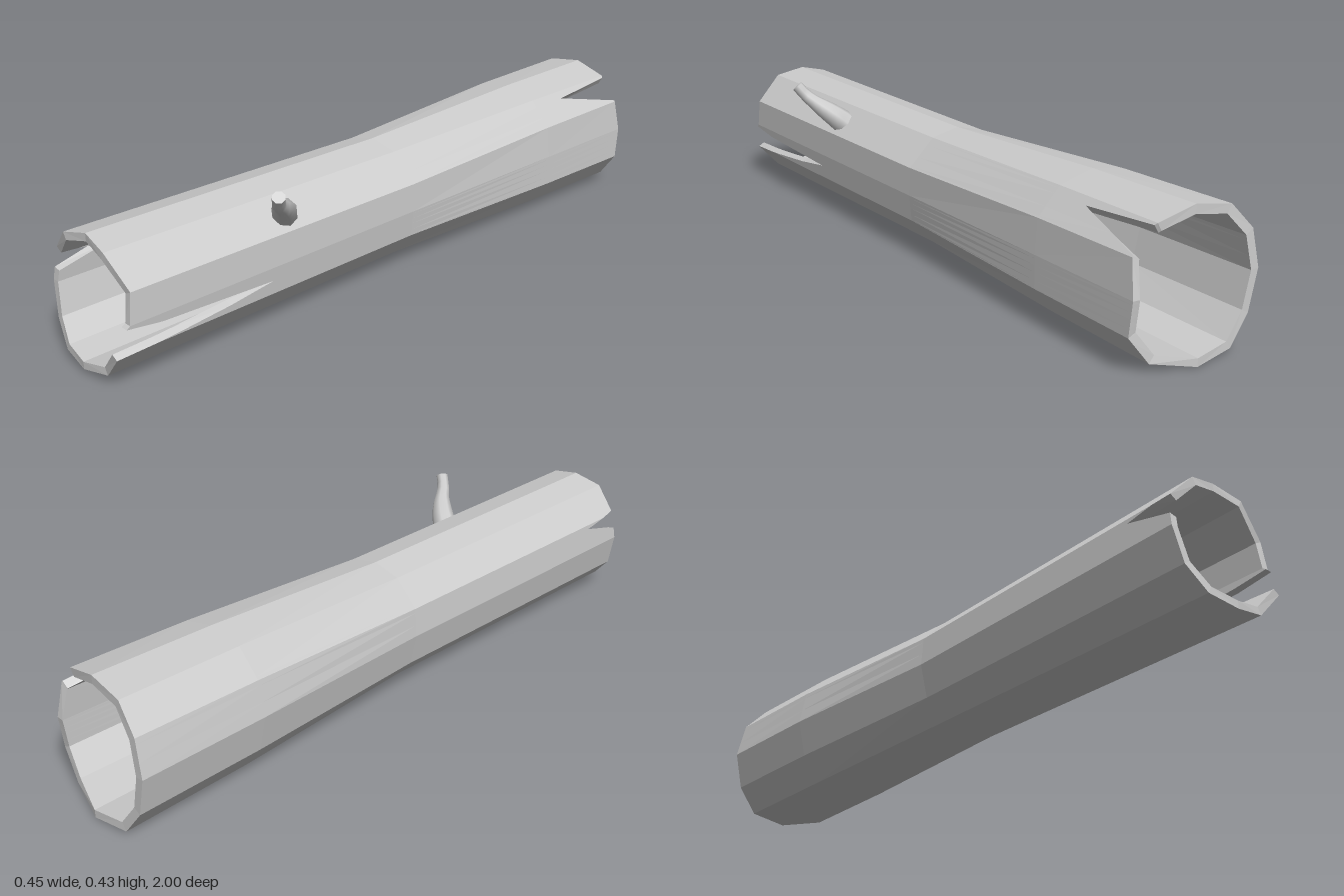
import * as THREE from 'three';

// Outer outline of the log, 12 corners clockwise from the top: front end and back end.
const FRONT = [[-.025, .374], [.065, .355], [.147, .275], [.15, .19], [.142, .11], [.07, .03],
  [-.025, .012], [-.115, .027], [-.172, .09], [-.195, .19], [-.187, .277], [-.113, .352]];
const BACK = [[-.025, .4], [.085, .372], [.15, .3], [.159, .2], [.16, .105], [.1, .028],
  [-.025, .001], [-.143, .015], [-.203, .093], [-.228, .205], [-.205, .31], [-.138, .381]];
const CENTRE = [-.022, .19];
const MIDDLE = FRONT.map(p => p.map((v, k) => CENTRE[k] + (v - CENTRE[k]) * .97));
const lerp = THREE.MathUtils.lerp;
const mix = (a, b, t) => a.map((p, i) => p.map((v, k) => lerp(v, b[i][k], t)));
const RINGS = [[-1, BACK], [-.6, mix(MIDDLE, BACK, .8)], [0, MIDDLE], [1, FRONT]];

// Where the wood ends, as [corner position, z]; the dips are the cracks.
const FRONT_END = [[0, .96], [1, .97], [2, .955], [3, .965], [3.1, .975], [3.3, .87], [3.5, .52],
  [3.75, .66], [3.95, .83], [4.1, 1], [5, .99], [6, 1], [7, .99], [8, .975], [9, .965], [9.4, .96],
  [9.85, .82], [10.1, .955], [11, .97], [12, .96]];
const BACK_END = [[0, -.965], [1, -.955], [1.08, -.95], [1.25, -.72], [1.65, -.85], [1.95, -.945],
  [3, -.965], [4, -.955], [5, -.965], [6, -1], [7, -.99], [8, -.985], [9, -.985], [10, -.98], [11, -.97], [12, -.965]];

function endAt(list, u) {
  const i = Math.max(1, list.findIndex(e => e[0] >= u));
  const [a, b] = [list[i - 1], list[i]];
  return lerp(a[1], b[1], (u - a[0]) / (b[0] - a[0]));
}

// Point on the wall at corner position u and depth z; scale < 1 gives the inside.
function wallPoint(u, z, scale) {
  const r = Math.max(1, RINGS.findIndex(e => e[0] >= z));
  const [a, b] = [RINGS[r - 1], RINGS[r]];
  const t = (z - a[0]) / (b[0] - a[0]);
  const i = Math.floor(u) % 12, j = (i + 1) % 12, f = u - Math.floor(u);
  const at = k => lerp(lerp(a[1][i][k], a[1][j][k], f), lerp(b[1][i][k], b[1][j][k], f), t);
  const [x, y] = [0, 1].map(k => CENTRE[k] + (at(k) - CENTRE[k]) * scale);
  return new THREE.Vector3(x, y, z);
}

function geometryFrom(quads) {
  const pos = [];
  const triangle = (a, b, c) => {
    const area = b.clone().sub(a).cross(c.clone().sub(a)).length();
    if (area > 1e-9) for (const p of [a, b, c]) pos.push(p.x, p.y, p.z);
  };
  for (const [a, b, c, d] of quads) { triangle(a, b, c); triangle(a, c, d); }
  const g = new THREE.BufferGeometry();
  g.setAttribute('position', new THREE.Float32BufferAttribute(pos, 3));
  g.computeVertexNormals();
  return g;
}

// Hollow log: outer wall, inner wall and the broken rims at both ends.
function logGeometry() {
  const us = [...new Set([...FRONT_END, ...BACK_END].map(e => e[0]))].sort((a, b) => a - b);
  const columns = us.map(u => {
    const zs = [endAt(BACK_END, u), -.6, 0, endAt(FRONT_END, u)];
    return { out: zs.map(z => wallPoint(u, z, 1)), inn: zs.map(z => wallPoint(u, z, .88)) };
  });
  const quads = [];
  for (let i = 0; i < columns.length - 1; i++) {
    const a = columns[i], b = columns[i + 1];
    for (let j = 0; j < 3; j++) {
      quads.push([a.out[j], a.out[j + 1], b.out[j + 1], b.out[j]]);
      quads.push([a.inn[j], b.inn[j], b.inn[j + 1], a.inn[j + 1]]);
    }
    quads.push([a.out[3], a.inn[3], b.inn[3], b.out[3]]);
    quads.push([a.out[0], b.out[0], b.inn[0], a.inn[0]]);
  }
  return geometryFrom(quads);
}

// Bent twig: a tube whose rings are resized to taper, closed by a flat tip.
function twigGeometry() {
  const path = new THREE.CatmullRomCurve3([[.092, .295, .44], [.125, .325, .46], [.162, .358, .495],
    [.187, .385, .53], [.209, .416, .547]].map(p => new THREE.Vector3(...p)));
  const radii = [.036, .037, .034, .031, .027, .022, .02, .018, .018];
  const segments = radii.length - 1, sides = 8;
  const g = new THREE.TubeGeometry(path, segments, 1, sides, false);
  const pos = g.attributes.position, v = new THREE.Vector3();
  for (let i = 0; i < pos.count; i++) {
    const ring = Math.floor(i / (sides + 1));
    const c = path.getPointAt(ring / segments);
    v.fromBufferAttribute(pos, i).sub(c).multiplyScalar(radii[ring]).add(c);
    pos.setXYZ(i, v.x, v.y, v.z);
  }
  const tip = new THREE.CircleGeometry(.018, sides);
  const dir = path.getTangentAt(1), end = path.getPointAt(1);
  tip.applyQuaternion(new THREE.Quaternion().setFromUnitVectors(new THREE.Vector3(0, 0, 1), dir));
  tip.translate(end.x, end.y, end.z);
  return { side: g, tip };
}

export function createModel() {
  const group = new THREE.Group();
  group.name = 'hollowLog';
  const material = new THREE.MeshStandardMaterial({ color: 0xcccccc, flatShading: true });
  const smooth = new THREE.MeshStandardMaterial({ color: 0xcccccc });
  const add = (name, geometry, mat) => {
    const mesh = new THREE.Mesh(geometry, mat);
    mesh.name = name;
    group.add(mesh);
  };
  add('logWall', logGeometry(), material);
  const twig = twigGeometry();
  add('twig', twig.side, smooth);
  add('twigTip', twig.tip, material);
  return group;
}
